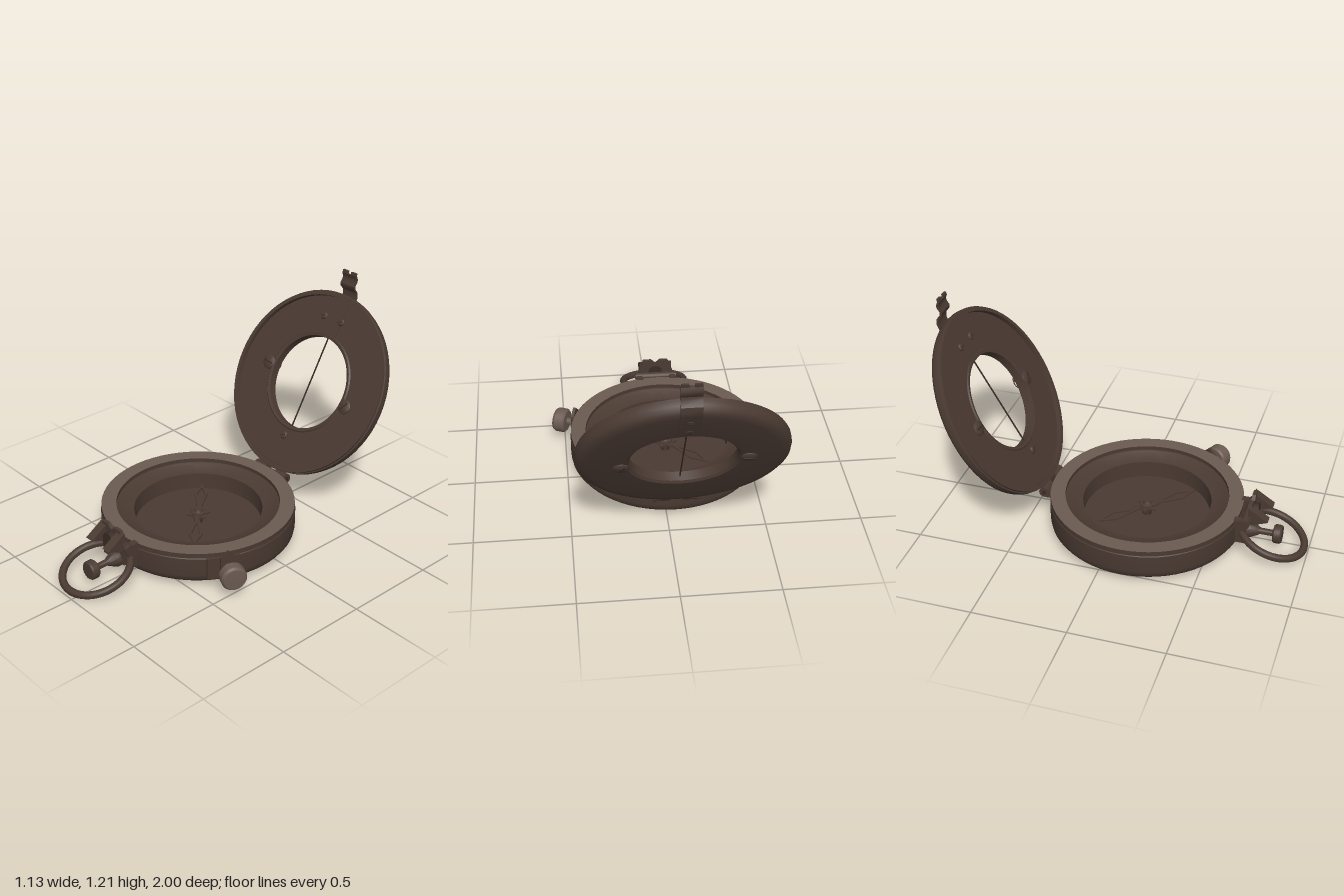
import * as THREE from 'three';
import { toCreasedNormals } from 'three/addons/utils/BufferGeometryUtils.js';

const mat = (name, color) => {
  const m = new THREE.MeshStandardMaterial({ color });
  m.name = name;
  return m;
};
const V = (pts) => pts.map(([a, b]) => new THREE.Vector2(a, b));

export function createModel() {
  const brass = mat('dark bronze', 0x4a3a32);
  const light = mat('worn rim bronze', 0x6a5a51);
  const dark = mat('blackened bronze', 0x382c26);
  const model = new THREE.Group();
  model.name = 'pocketCompass';
  const CX = -0.043, CZ = 0.125;

  const add = (parent, name, geo, m, x = 0, y = 0, z = 0) => {
    const mesh = new THREE.Mesh(toCreasedNormals(geo, 0.6), m);
    mesh.name = name;
    mesh.position.set(x, y, z);
    parent.add(mesh);
    return mesh;
  };
  const group = (parent, name, x, y, z) => {
    const g = new THREE.Group();
    g.name = name;
    g.position.set(x, y, z);
    parent.add(g);
    return g;
  };
  const lathe = (pts, seg = 64) => new THREE.LatheGeometry(V(pts), seg);
  const box = (w, h, d) => new THREE.BoxGeometry(w, h, d);
  // Cylinder lying along x
  const rod = (r, len) => new THREE.CylinderGeometry(r, r, len, 20).rotateZ(Math.PI / 2);
  // Extrude a (z, y) outline across x, centred on x = 0
  const extrudeX = (pts, w) => new THREE.ExtrudeGeometry(new THREE.Shape(V(pts)), { depth: w, bevelEnabled: false })
    .rotateY(-Math.PI / 2).translate(w / 2, 0, 0);
  const extrudeFlat = (shape, depth) => new THREE.ExtrudeGeometry(shape, { depth, bevelEnabled: false, curveSegments: 24 });

  // ---- Case: outer shell, pale rim and sunken dial ----
  const base = group(model, 'case', CX, 0, CZ);
  add(base, 'caseShell', lathe([[0, 0.006], [0.1, 0.006], [0.105, 0.014], [0.27, 0.014], [0.285, 0.002], [0.42, 0],
    [0.45, 0.006], [0.455, 0.022], [0.475, 0.022], [0.5, 0.034], [0.513, 0.052], [0.517, 0.075], [0.517, 0.172],
    [0.514, 0.176], [0.514, 0.203]]), brass);
  add(base, 'caseRim', lathe([[0.514, 0.203], [0.435, 0.203]]), light);
  add(base, 'dialWell', lathe([[0.435, 0.203], [0.435, 0.182], [0.422, 0.178], [0.415, 0.172], [0.342, 0.16],
    [0.338, 0.068], [0, 0.068]]), brass);

  // ---- Needle: two open kite arms on a star hub ----
  const needle = group(base, 'needle', 0, 0.11, 0);
  const arm = new THREE.Shape(V([[0.03, -0.008], [0.07, -0.012], [0.2, -0.036], [0.3, 0], [0.2, 0.036], [0.07, 0.012], [0.03, 0.008]]));
  arm.holes.push(new THREE.Path(V([[0.09, 0], [0.195, 0.022], [0.265, 0], [0.195, -0.022]])));
  for (const a of [0.75, -0.25]) {
    add(needle, 'needleArm', extrudeFlat(arm, 0.008).rotateX(-Math.PI / 2), brass).rotation.y = a * Math.PI;
  }
  const star = [];
  for (let i = 0; i < 12; i++) {
    const r = i % 2 ? 0.04 : 0.066, a = (i * Math.PI) / 6;
    star.push([r * Math.cos(a), r * Math.sin(a)]);
  }
  add(needle, 'needleStar', extrudeFlat(new THREE.Shape(V(star)), 0.01).rotateX(-Math.PI / 2), brass);
  add(needle, 'needleCap', lathe([[0.036, 0], [0.036, 0.018], [0.022, 0.022], [0.016, 0.034], [0, 0.036]], 24), brass);
  add(needle, 'needlePivot', new THREE.CylinderGeometry(0.012, 0.025, 0.044, 16), dark, 0, -0.021, 0);

  // ---- Lid: built lying flat, hinge towards local +z, then swung open ----
  const lid = group(model, 'lid', CX, 0.647, -0.66);
  lid.rotation.x = Math.PI / 3;
  add(lid, 'lidRing', lathe([[0.262, -0.07], [0.275, -0.08], [0.46, -0.08], [0.492, -0.074], [0.51, -0.06],
    [0.517, -0.04], [0.517, -0.014], [0.51, -0.012], [0.51, 0], [0.488, 0], [0.488, -0.024], [0.285, -0.024],
    [0.278, -0.018], [0.262, -0.022], [0.262, -0.07]]), brass);
  add(lid, 'sightWire', box(0.006, 0.006, 0.53), dark, 0, -0.045, 0);
  add(lid, 'sightPlate', box(0.124, 0.005, 0.205), brass, 0, -0.0225, -0.363);
  // Slotted screws on both faces of the lid
  const screw = (x, z, r, slot, side) => {
    const s = group(lid, 'lidScrew', x, side > 0 ? -0.024 : -0.079, z);
    if (side < 0) s.rotation.x = Math.PI;
    add(s, 'screwHead', lathe([[r, 0], [r, 0.006], [r * 0.75, 0.013], [0, 0.015]], 20), brass);
    add(s, 'screwSlot', box(r * 1.5, 0.003, r * 0.2), dark, 0, 0.0145, 0).rotation.y = slot;
  };
  for (const side of [1, -1]) {
    screw(-0.31, -0.01, 0.04, -0.1, side);
    screw(0.3, 0.04, 0.04, 0.9, side);
  }
  screw(-0.066, -0.37, 0.021, 0, 1);
  screw(0.06, -0.37, 0.021, 0, 1);
  screw(-0.01, 0.325, 0.022, 0.4, 1);
  screw(0, -0.43, 0.024, 0.3, -1);
  screw(0, -0.335, 0.024, 1, -1);

  // ---- Wavy thumb strap up the back of the lid ----
  const strip = (pts, t) => [...pts, ...pts.map(([z, y]) => [z + t, y]).reverse()];
  add(model, 'lidStrap', extrudeX(strip([[-0.89, 0.865], [-0.986, 1.032], [-0.998, 1.06], [-0.996, 1.09], [-0.976, 1.115],
    [-0.974, 1.132], [-0.99, 1.155], [-0.992, 1.17], [-0.984, 1.19]], 0.012), 0.1), brass, CX);
  for (const s of [-1, 1]) {
    add(model, 'strapLobe', extrudeX(strip([[-0.985, 1.188], [-0.988, 1.205]], 0.012), 0.036), brass, CX + s * 0.03);
  }

  // ---- Hinge: pin with case lugs outside and lid lugs inside ----
  const hinge = group(model, 'hinge', CX, 0.165, -0.418);
  add(hinge, 'hingePin', rod(0.012, 0.24), dark);
  for (const s of [-1, 1]) {
    add(hinge, 'caseKnuckle', rod(0.028, 0.045), brass, s * 0.095);
    add(hinge, 'caseLug', box(0.045, 0.04, 0.06), brass, s * 0.095, -0.008, 0.035);
    add(hinge, 'lidKnuckle', rod(0.028, 0.035), brass, s * 0.053);
    add(hinge, 'lidLug', box(0.035, 0.085, 0.025), brass, s * 0.053, 0.03, -0.038).rotation.x = -Math.PI / 6;
  }

  // ---- Side brake: backing plate, clip, stem and pale knob ----
  const side = group(base, 'sideBrake', 0, 0.12, 0);
  side.rotation.y = -0.43;
  add(side, 'brakePlate', box(0.05, 0.12, 0.17), brass, 0.5, 0, 0.02);
  add(side, 'brakeClip', extrudeX([[-0.04, -0.06], [0.04, -0.06], [0.04, 0.06], [0, 0.1], [-0.04, 0.06]], 0.016), brass, 0.533);
  const knobProfile = [[0, 0], [0.03, 0], [0.03, 0.02], [0.018, 0.025], [0.018, 0.05], [0.058, 0.05], [0.067, 0.06],
    [0.067, 0.105], [0.058, 0.118], [0, 0.122]];
  add(side, 'brakeKnob', lathe(knobProfile, 28).rotateZ(-Math.PI / 2), light, 0.53, 0, 0);

  // ---- Front fitting: bracket, barrel, folding sight, thumbscrew, ring ----
  const front = group(model, 'frontFitting', CX, 0, 0);
  add(front, 'bracketBlock', box(0.11, 0.1, 0.06), brass, 0, 0.11, 0.645);
  add(front, 'sightBarrel', rod(0.025, 0.235), brass, 0, 0.188, 0.678);
  for (const s of [-1, 1]) {
    add(front, 'bracketPlate', box(0.03, 0.09, 0.06), brass, s * 0.092, 0.11, 0.65);
    add(front, 'barrelLug', box(0.035, 0.05, 0.06), brass, s * 0.095, 0.18, 0.65);
    add(front, 'sightCheek', extrudeX([[0.69, 0.18], [0.72, 0.182], [0.795, 0.212], [0.69, 0.28]], 0.05), brass, s * 0.068);
  }
  const plate = new THREE.Shape(V([[-0.1, 0.19], [-0.098, 0.215], [-0.07, 0.287], [-0.025, 0.287], [0, 0.265],
    [0.025, 0.287], [0.07, 0.287], [0.098, 0.215], [0.1, 0.19]]));
  add(front, 'sightPlate', extrudeFlat(plate, 0.02), brass, 0, 0, 0.685);
  add(front, 'sightPrism', new THREE.CylinderGeometry(0.04, 0.04, 0.05, 24).rotateX(Math.PI / 2), dark, 0, 0.212, 0.705);
  add(front, 'sightPrismFoot', box(0.08, 0.045, 0.05), dark, 0, 0.19, 0.705);
  add(front, 'thumbScrew', lathe([[0.045, 0], [0.045, 0.02], [0.026, 0.06], [0.017, 0.075], [0.017, 0.14], [0.044, 0.145],
    [0.05, 0.152], [0.05, 0.182], [0.044, 0.19], [0, 0.193]], 28).rotateX(Math.PI / 2), brass, 0, 0.083, 0.67);
  add(front, 'carryRing', new THREE.TorusGeometry(0.179, 0.02, 14, 56).rotateX(Math.PI / 2), brass, 0, 0.077, 0.808)
    .rotation.x = 0.31;
  return model;
}
